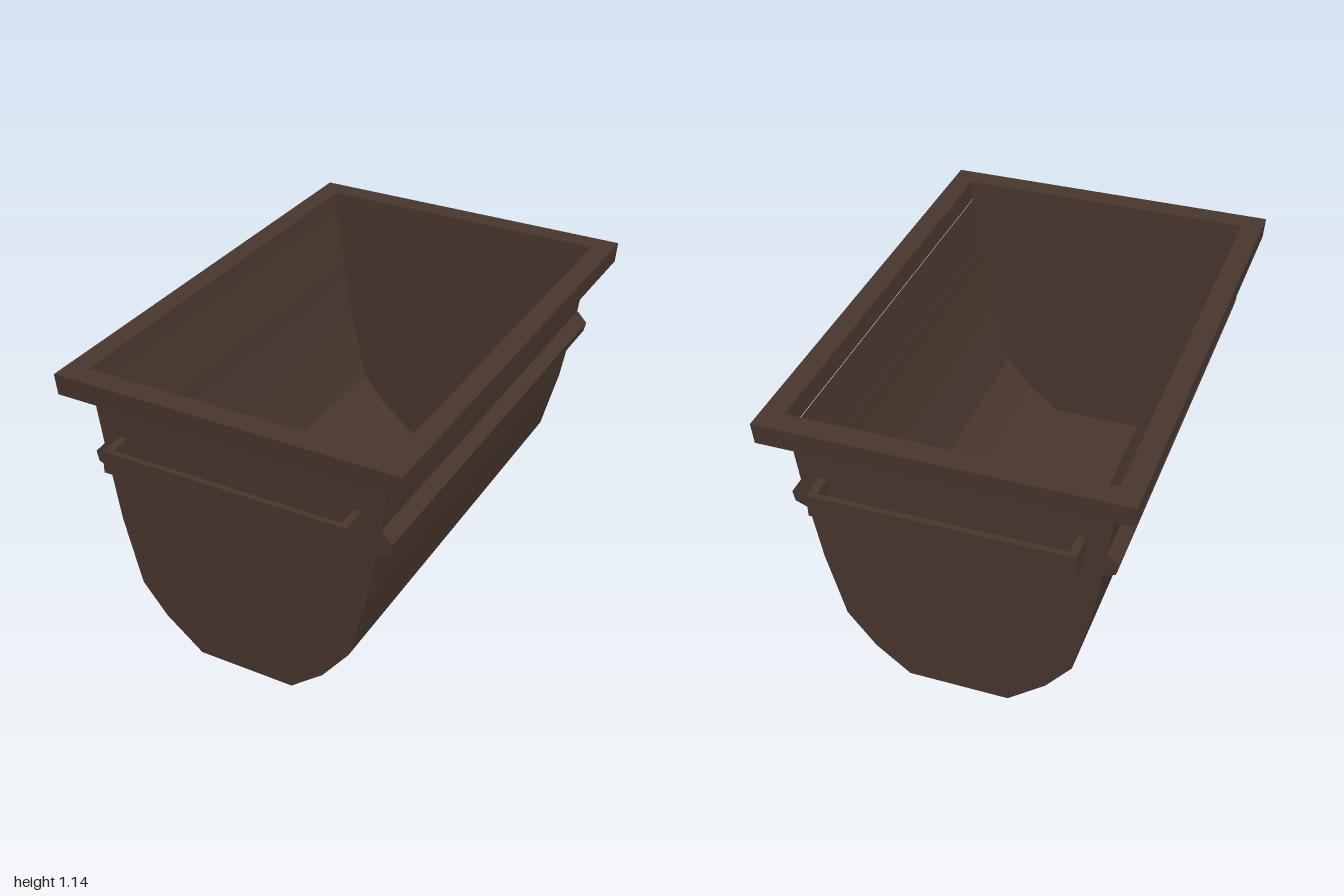
import * as THREE from 'three';

const iron = new THREE.MeshStandardMaterial({ color: 0x48362d });
iron.name = 'darkBrown';
iron.side = THREE.DoubleSide; // the trough is an open thin shell

const END = 0.893; // half length of the trough body

function mesh(name, geometry) {
  const m = new THREE.Mesh(geometry, iron);
  m.name = name;
  return m;
}

// Joins neighbouring rows of points with flat-faced quads
function loft(rows) {
  const pos = [];
  for (let r = 0; r < rows.length - 1; r++) {
    for (let i = 0; i < rows[r].length - 1; i++) {
      const a = rows[r][i], b = rows[r][i + 1], c = rows[r + 1][i + 1], d = rows[r + 1][i];
      pos.push(...a, ...b, ...c, ...a, ...c, ...d);
    }
  }
  const g = new THREE.BufferGeometry();
  g.setAttribute('position', new THREE.Float32BufferAttribute(pos, 3));
  g.computeVertexNormals();
  return g;
}

function toShape(points) {
  return new THREE.Shape(points.map(([x, y]) => new THREE.Vector2(x, y)));
}

export function createModel() {
  const model = new THREE.Group();
  model.name = 'trough';

  // Body: cross-section from the -x lip, round the floor, to the +x lip
  const profile = [
    [-0.595, 1.06], [-0.557, 0.78], [-0.517, 0.52], [-0.45, 0.25], [-0.35, 0.125], [-0.2, 0.003],
    [0.195, 0.003], [0.328, 0.11], [0.437, 0.25], [0.507, 0.515], [0.555, 0.78], [0.592, 1.06],
  ];
  const row = (z) => profile.map(([x, y]) => [x, y, z]);
  model.add(mesh('bodyShell', loft([row(END), row(-END)])));

  // Flat end walls
  for (const s of [1, -1]) {
    const wall = mesh(s > 0 ? 'frontWall' : 'backWall', new THREE.ShapeGeometry(toShape(profile)));
    wall.position.z = s * END;
    if (s < 0) wall.geometry.scale(-1, 1, 1).rotateY(Math.PI);
    if (s < 0) {
      // keep the corner order facing outward after the mirror
      const idx = wall.geometry.index.array;
      for (let i = 0; i < idx.length; i += 3) [idx[i], idx[i + 1]] = [idx[i + 1], idx[i]];
      wall.geometry.computeVertexNormals();
    }
    model.add(wall);
  }

  // Rim: slightly flared rectangular frame
  const corners = [[1, 1], [1, -1], [-1, -1], [-1, 1], [1, 1]];
  const ring = (x, y, z) => corners.map(([sx, sz]) => [sx * x, y, sz * z]);
  model.add(mesh('rim', loft([
    ring(0.594, 1.06, END), ring(0.676, 1.06, 0.98), ring(0.682, 1.142, 0.984),
    ring(0.598, 1.142, 0.895), ring(0.594, 1.06, END),
  ])));

  // Long ridges on both sides
  const ridge = [[0.548, 0.735], [0.598, 0.755], [0.607, 0.795], [0.567, 0.838], [0.56, 0.838]];
  for (const s of [1, -1]) {
    const pts = ridge.map(([x, y]) => [s * x, y]);
    const g = new THREE.ExtrudeGeometry(toShape(pts), { depth: 2 * END, bevelEnabled: false });
    g.translate(0, 0, -END);
    model.add(mesh(s > 0 ? 'leftRidge' : 'rightRidge', g));
  }

  // Bar handles at both ends, held off the wall by two posts
  for (const s of [1, -1]) {
    const handle = new THREE.Group();
    handle.name = s > 0 ? 'frontHandle' : 'backHandle';
    const bar = mesh('bar', new THREE.BoxGeometry(0.98, 0.09, 0.022));
    bar.position.set(0, 0.845, s * 0.989);
    handle.add(bar);
    for (const side of [1, -1]) {
      const post = mesh('post', new THREE.BoxGeometry(0.03, 0.09, 0.085));
      post.position.set(side * 0.475, 0.845, s * 0.9355);
      handle.add(post);
    }
    model.add(handle);
  }
  return model;
}
